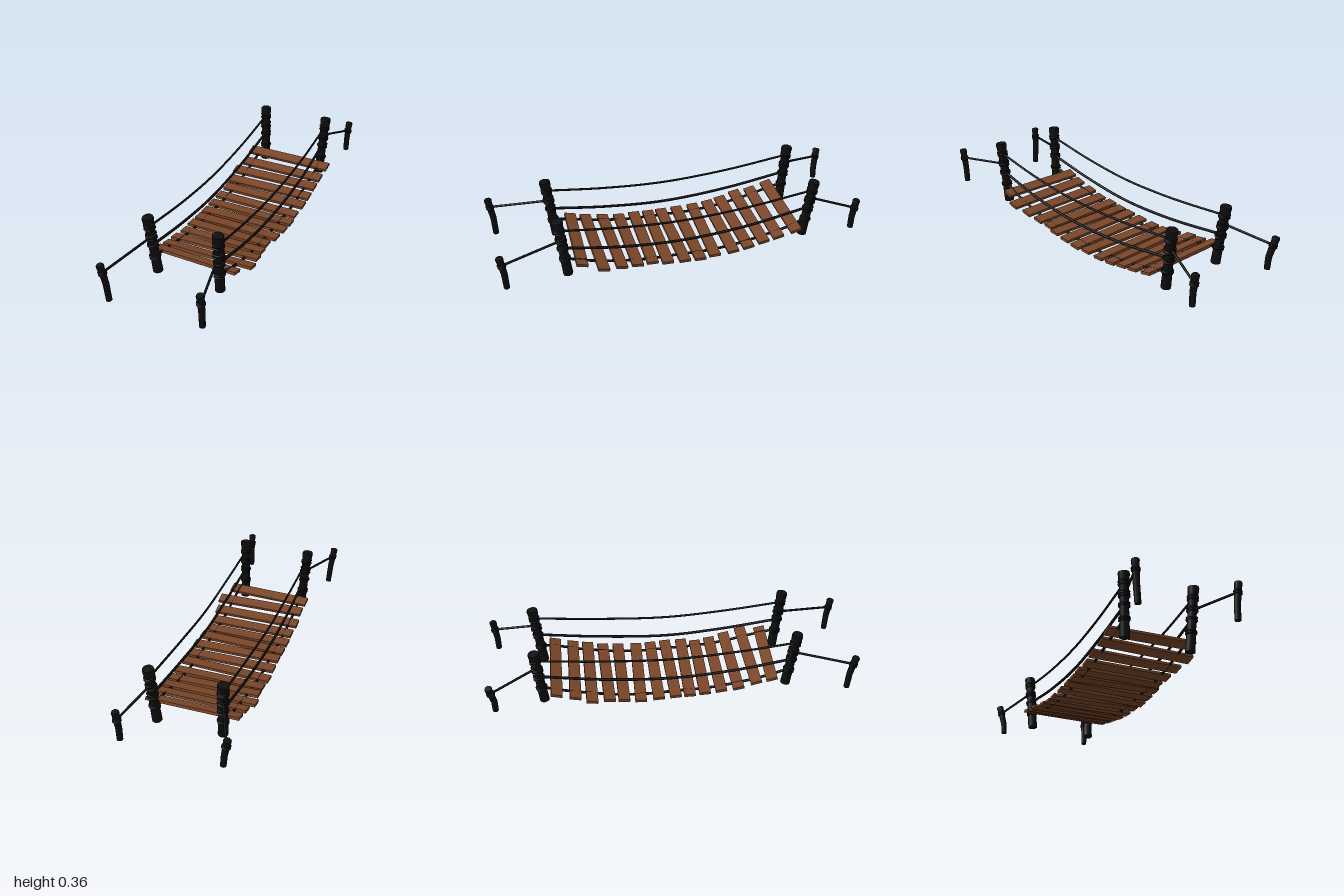
import * as THREE from 'three';

const V = (x, y, z) => new THREE.Vector3(x, y, z);
const UP = V(0, 1, 0);

export function createModel() {
  const model = new THREE.Group();
  model.name = 'ropeBridge';
  const plankWood = new THREE.MeshStandardMaterial({ color: 0x7a4629 });
  plankWood.name = 'plankBrown';
  const dark = new THREE.MeshStandardMaterial({ color: 0x0e0e0e });
  dark.name = 'tarredBlack';

  function add(name, geometry, material, parent = model) {
    const mesh = new THREE.Mesh(geometry, material);
    mesh.name = name;
    parent.add(mesh);
    return mesh;
  }

  // Round timber lofted through points (bottom to top), one radius per point
  function timber(points, radii, sides) {
    const n = points.length - 1;
    const g = new THREE.CylinderGeometry(1, 1, 1, sides, n);
    const turns = points.map((p, i) => {
      const t = points[Math.min(i + 1, n)].clone().sub(points[Math.max(i - 1, 0)]).normalize();
      return new THREE.Quaternion().setFromUnitVectors(UP, t);
    });
    const pos = g.attributes.position;
    for (let k = 0; k < pos.count; k++) {
      const i = Math.round((pos.getY(k) + 0.5) * n);
      const v = V(pos.getX(k) * radii[i], 0, pos.getZ(k) * radii[i]);
      v.applyQuaternion(turns[i]).add(points[i]);
      pos.setXYZ(k, v.x, v.y, v.z);
    }
    g.computeVertexNormals();
    return g;
  }

  function rope(name, points, radius) {
    const curve = new THREE.CatmullRomCurve3(points);
    add(name, new THREE.TubeGeometry(curve, points.length * 8, radius, 8), dark);
  }

  // Rope coil around a timber, slightly tilted
  function coil(parent, at, dir, radius, thick, wobble) {
    const ring = add('ropeCoil', new THREE.TorusGeometry(radius, thick, 6, 18), dark, parent);
    ring.position.copy(at);
    const d = dir.clone().add(V(wobble, 0, -wobble)).normalize();
    ring.quaternion.setFromUnitVectors(V(0, 0, 1), d);
  }

  // Corners: post bottom and top, stake bottom, bend and top
  const corners = [
    { name: 'frontRight', post: [V(-0.157, 0.013, 0.628), V(-0.177, 0.355, 0.668)],
      stake: [V(-0.242, 0.018, 0.957), V(-0.25, 0.12, 0.961), V(-0.263, 0.237, 0.98)] },
    { name: 'frontLeft', post: [V(0.202, 0.005, 0.625), V(0.216, 0.36, 0.665)],
      stake: [V(0.28, 0.04, 0.957), V(0.281, 0.13, 0.961), V(0.284, 0.24, 0.978)] },
    { name: 'backRight', post: [V(-0.16, 0.02, -0.708), V(-0.178, 0.35, -0.742)],
      stake: [V(-0.261, 0.055, -0.965), V(-0.267, 0.12, -0.965), V(-0.291, 0.232, -0.984)] },
    { name: 'backLeft', post: [V(0.2, 0.012, -0.708), V(0.212, 0.355, -0.75)],
      stake: [V(0.279, 0.06, -0.965), V(0.28, 0.13, -0.966), V(0.284, 0.24, -0.981)] },
  ];
  const atHeight = (a, b, y) => a.clone().lerp(b, (y - a.y) / (b.y - a.y));

  for (const c of corners) {
    const group = new THREE.Group();
    group.name = c.name + 'Anchor';
    model.add(group);

    // Main post with flared head
    const [a, b] = c.post;
    const stops = [0, 0.3, 0.6, 0.82, 0.97, 1];
    add('post', timber(stops.map(t => a.clone().lerp(b, t)),
      [0.027, 0.025, 0.024, 0.026, 0.031, 0.029], 14), dark, group);
    const dir = b.clone().sub(a).normalize();
    [0.104, 0.115, 0.177, 0.19, 0.226, 0.238, 0.25, 0.288, 0.303].forEach((y, i) =>
      coil(group, atHeight(a, b, y), dir, 0.027, 0.005, (i % 3 - 1) * 0.12));

    // Small bent stake
    const [s0, s1, s2] = c.stake;
    const neck = s1.clone().lerp(s2, 0.75);
    add('stake', timber([s0, s1, neck, s1.clone().lerp(s2, 0.95), s2],
      [0.016, 0.017, 0.019, 0.021, 0.018], 12), dark, group);
    const sDir = s2.clone().sub(s1).normalize();
    [0.18, 0.191].forEach((y, i) =>
      coil(group, atHeight(s1, s2, y), sDir, 0.019, 0.0045, i * 0.1));

    // Guy rope from post to stake
    rope(c.name + 'GuyRope', [atHeight(a, b, a.z > 0 ? 0.232 : 0.25), atHeight(s1, s2, 0.188)], 0.0065);
  }

  // Height of the sagging deck along z
  const deck = new THREE.SplineCurve([[-0.72, 0.112], [-0.64, 0.091], [-0.5, 0.056], [-0.3, 0.022],
    [-0.14, 0.012], [0, 0.017], [0.2, 0.024], [0.35, 0.043], [0.5, 0.075], [0.62, 0.104]]
    .map(p => new THREE.Vector2(...p)));
  const samples = deck.getPoints(200);
  const deckY = z => samples.reduce((m, p) => Math.abs(p.x - z) < Math.abs(m.x - z) ? p : m).y;

  // Planks: z, right end, left end, yaw
  const planks = [
    [-0.64, -0.23, 0.28, 0], [-0.54, -0.23, 0.277, 0], [-0.453, -0.248, 0.277, 0.01],
    [-0.362, -0.23, 0.277, 0.025], [-0.278, -0.225, 0.28, 0.005], [-0.18, -0.228, 0.278, -0.025],
    [-0.088, -0.223, 0.285, 0.005], [0.002, -0.22, 0.285, 0.02], [0.088, -0.22, 0.28, -0.015],
    [0.17, -0.22, 0.26, -0.01], [0.258, -0.215, 0.27, 0.005], [0.35, -0.22, 0.285, 0.015],
    [0.45, -0.212, 0.303, 0.015], [0.546, -0.217, 0.264, -0.035],
  ];
  planks.forEach(([z, x0, x1, yaw], i) => {
    const plank = add('plank', new THREE.BoxGeometry(x1 - x0, 0.016, 0.063), plankWood);
    plank.position.set((x0 + x1) / 2, deckY(z), z);
    const slope = (deckY(z + 0.03) - deckY(z - 0.03)) / 0.06;
    plank.rotation.set(-Math.atan(slope), yaw, (i % 3 - 1) * 0.006, 'YXZ');
  });

  // Long ropes on each side: hand rope, middle rope and deck rope
  for (const [side, x, front, back] of [['right', -0.17, corners[0], corners[2]], ['left', 0.218, corners[1], corners[3]]]) {
    const span = (yf, yb, mid) => [atHeight(...front.post, yf), ...mid.map(([z, y]) => V(x, y, z)), atHeight(...back.post, yb)];
    rope(side + 'HandRope', span(0.296, 0.298, [[0.33, 0.259], [0, 0.241], [-0.36, 0.258]]), 0.006);
    rope(side + 'MiddleRope', span(0.18, 0.187, [[0.33, 0.133], [0, 0.111], [-0.36, 0.133]]), 0.0075);
    rope(side + 'DeckRope', span(0.11, 0.112,
      [0.5, 0.35, 0.2, 0, -0.14, -0.3, -0.5, -0.64].map(z => [z, deckY(z)])), 0.0075);
  }
  return model;
}
